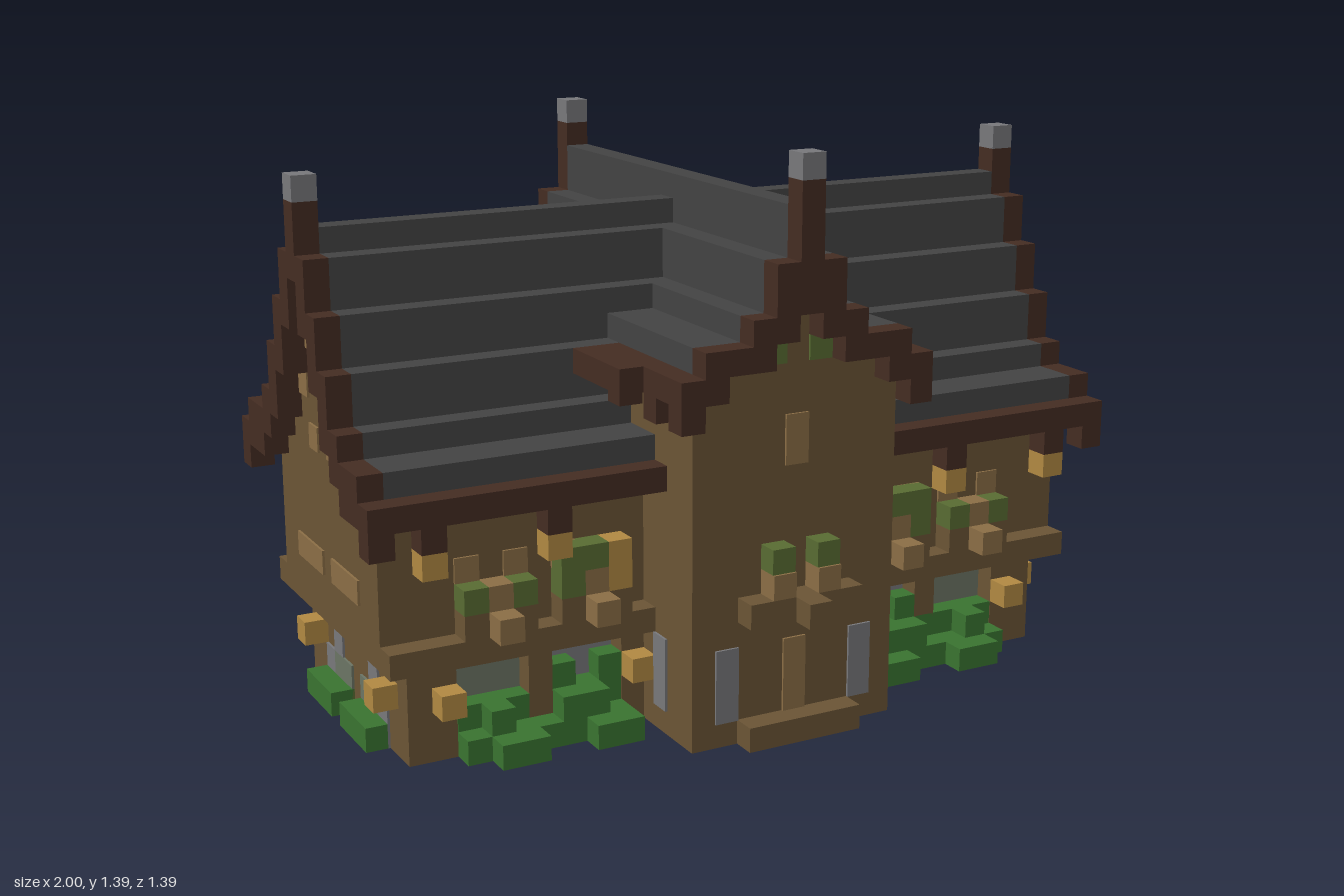
import * as THREE from 'three';

const U = 2 / 33; // one block
const paint = (name, color) => Object.assign(new THREE.MeshStandardMaterial({ color }), { name });

export function createModel() {
  const wood = paint('wood', 0x6a5435), trim = paint('dark timber', 0x442c22), slate = paint('slate', 0x434343);
  const stone = paint('stone', 0x77777a), tan = paint('tan planks', 0x8a6d45), lampCol = paint('lamp', 0xb08842);
  const leaf = paint('leaf', 0x397330), moss = paint('moss', 0x586b32), pink = paint('pink', 0xb893bc);
  const glass = paint('mossy glass', 0x6b7464);
  const house = new THREE.Group();
  house.name = 'house';

  // Block box in grid units: x 0..33, y 0..23, z -11..11
  const box = (parent, name, mat, x0, x1, y0, y1, z0, z1) => {
    const m = new THREE.Mesh(new THREE.BoxGeometry((x1 - x0) * U, (y1 - y0) * U, (z1 - z0) * U), mat);
    m.position.set(((x0 + x1) / 2 - 16.5) * U, ((y0 + y1) / 2) * U, ((z0 + z1) / 2) * U);
    m.name = name;
    parent.add(m);
  };
  // Same box on both sides of the centre line
  const pair = (parent, name, mat, x0, x1, ...r) => {
    box(parent, name, mat, x0, x1, ...r);
    box(parent, name, mat, 33 - x1, 33 - x0, ...r);
  };
  // Near and far column at distance d from a ridge column starting at c
  const columns = (c, d) => (d ? [c - d, c + d] : [c]);

  // Main hall: [underside, top] of the roof at each distance from the ridge
  const mainRoof = [[18, 20], [16, 19], [14, 17], [12, 15], [11, 13], [10, 12], [10, 12], [10, 11]];
  mainRoof.forEach(([lo, hi], d) => columns(-1, d).forEach((z) => {
    if (d < 6) box(house, 'mainWall', wood, 1, 32, 4, lo, z, z + 1);
    box(house, d === 7 ? 'mainEave' : 'mainRoof', d === 7 ? trim : slate, 1, 32, lo, hi, z, z + 1);
    pair(house, 'gableTrim', trim, 0, 1, d === 7 ? 9 : lo, d === 0 ? 21 : hi, z, z + 1);
  }));
  pair(house, 'ridgeCap', stone, 0, 1, 21, 22, -1, 0);
  box(house, 'mainBase', wood, 2, 31, 0, 4, -5, 4);

  // Cross wing
  const wingRoof = [[17, 21], [16, 19], [15, 17], [15, 16], [14, 16]];
  wingRoof.forEach(([lo, hi], d) => columns(16, d).forEach((x) => {
    box(house, 'wingWall', wood, x, x + 1, 0, lo, -10, 9);
    box(house, 'wingRoof', slate, x, x + 1, lo, hi, -10, 9);
    for (const z of [-11, 9]) box(house, 'wingTrim', trim, x, x + 1, lo, d ? hi : 22, z, z + 1);
  }));
  for (const z of [-11, 9]) box(house, 'wingRidgeCap', stone, 16, 17, 22, 23, z, z + 1);
  pair(house, 'wingEave', trim, 11, 12, 14, 15, 3, 10);
  pair(house, 'wingEave', trim, 10, 12, 14, 15, -11, -4);
  box(house, 'eaveStub', trim, 10, 11, 14, 15, 3, 7);
  for (const z of [9, 7, 4]) pair(house, 'eaveTooth', trim, 11, 12, 13, 14, z, z + 1);
  for (const z of [-5, -7, -9, -11]) pair(house, 'eaveTooth', trim, 10, 12, 13, 14, z, z + 1);
  box(house, 'doorStep', wood, 14, 19, 0, 1, 9, 10);

  // Long facade, used for the front and turned round for the back
  const facade = (name) => {
    const f = new THREE.Group();
    f.name = name;
    for (const x of [2, 3, 7, 11]) pair(f, 'post', wood, x, x + 1, 0, 4, 4, 5);
    pair(f, 'floorBeam', wood, 1, 12, 4, 5, 5, 6);
    for (const x of [2, 7]) {
      pair(f, 'bracket', trim, x, x + 1, 9, 10, 6, 7);
      pair(f, 'upperLamp', lampCol, x, x + 1, 8, 9, 6, 7);
    }
    for (const x of [3, 11]) pair(f, 'lowerLamp', lampCol, x, x + 1, 2, 3, 5, 6);
    // Windows
    pair(f, 'lowerWindow', glass, 4, 7, 2, 4, 4, 4.1);
    pair(f, 'lowerWindow', stone, 8, 11, 2, 4, 4, 4.1);
    for (const x of [4, 6, 8]) pair(f, 'upperWindow', tan, x, x + 1, 7, 8, 5, 5.1);
    // Planters and flowers
    for (const x of [4, 8]) {
      pair(f, 'planter', wood, x, x + 3, 5, 6, 5, 6);
      pair(f, 'planterFront', tan, x + 1, x + 2, 5, 6, 6, 7);
      pair(f, 'flower', moss, x, x + 1, 6, 7, 5, 6);
      pair(f, 'flower', tan, x + 1, x + 2, 6, 7, 5, 6);
    }
    pair(f, 'flower', moss, 6, 7, 6, 7, 5, 6);
    pair(f, 'flower', moss, 8, 10, 7, 8, 5, 6);
    box(f, 'yellowFlower', lampCol, 10, 11, 6, 8, 5, 6);
    box(f, 'pinkFlower', pink, 22, 23, 6, 8, 5, 6);
    // Bushes
    pair(f, 'bush', leaf, 4, 11, 0, 1, 4, 6);
    pair(f, 'bush', leaf, 5, 7, 0, 1, 6, 7);
    pair(f, 'bush', leaf, 9, 11, 0, 1, 6, 7);
    pair(f, 'bush', leaf, 4.02, 10.98, 1, 2, 4, 5);
    pair(f, 'bush', leaf, 5, 6, 1, 2, 5, 6);
    pair(f, 'bush', leaf, 8, 10, 1, 2, 5, 6);
    pair(f, 'bush', leaf, 8, 9, 2, 3, 4, 5);
    pair(f, 'bush', leaf, 10, 11, 2, 3, 4, 5);
    // Wing front
    pair(f, 'wingWindow', stone, 13, 14, 1, 4, 9, 9.1);
    box(f, 'doorPanel', tan, 16, 17, 1, 4, 9, 9.1);
    pair(f, 'wingSideWindow', stone, 11.9, 12, 1, 4, 6, 7);
    box(f, 'wingPlanter', wood, 14, 19, 5, 6, 9, 10);
    box(f, 'planterFront', wood, 16, 17, 5, 6, 10, 11);
    pair(f, 'wingFlower', tan, 15, 16, 6, 7, 9, 10);
    pair(f, 'wingFlower', moss, 15, 16, 7, 8, 9, 9.9);
    pair(f, 'gableMoss', moss, 15, 16, 15, 16, 9, 9.1);
    box(f, 'loftWindow', tan, 16, 17, 11, 13, 9, 9.1);
    house.add(f);
    return f;
  };
  facade('frontFacade');
  const back = facade('backFacade');
  back.rotation.y = Math.PI;
  back.position.z = -U;

  // Gable ends
  const endPanel = (name, mat, x, y0, y1, z0, z1) => {
    pair(house, name, mat, x, x + 0.1, y0, y1, z0, z1);
    pair(house, name, mat, x, x + 0.1, y0, y1, -1 - z1, -1 - z0);
  };
  endPanel('endWindow', tan, 32, 6, 7, 0, 3);
  endPanel('endWindow', tan, 32, 11, 12, 0, 1);
  endPanel('endWindow', tan, 32, 13, 14, 1, 2);
  endPanel('endWindow', tan, 32, 15, 16, 0, 1);
  endPanel('endLowerWindow', stone, 31, 0, 2, 2, 3);
  endPanel('endLowerWindow', glass, 31, 1, 2, 0, 2);
  endPanel('endLowerWindow', moss, 31, 0, 1, 0, 2);
  endPanel('endLowerWindow', stone, 31, 2, 3, 1, 2);
  for (const z of [-5, 3]) pair(house, 'endLamp', lampCol, 31, 32, 2, 3, z, z + 1);
  for (const z of [-4, 0]) box(house, 'endBush', leaf, 1, 2, 0, 1, z, z + 3);

  return house;
}
